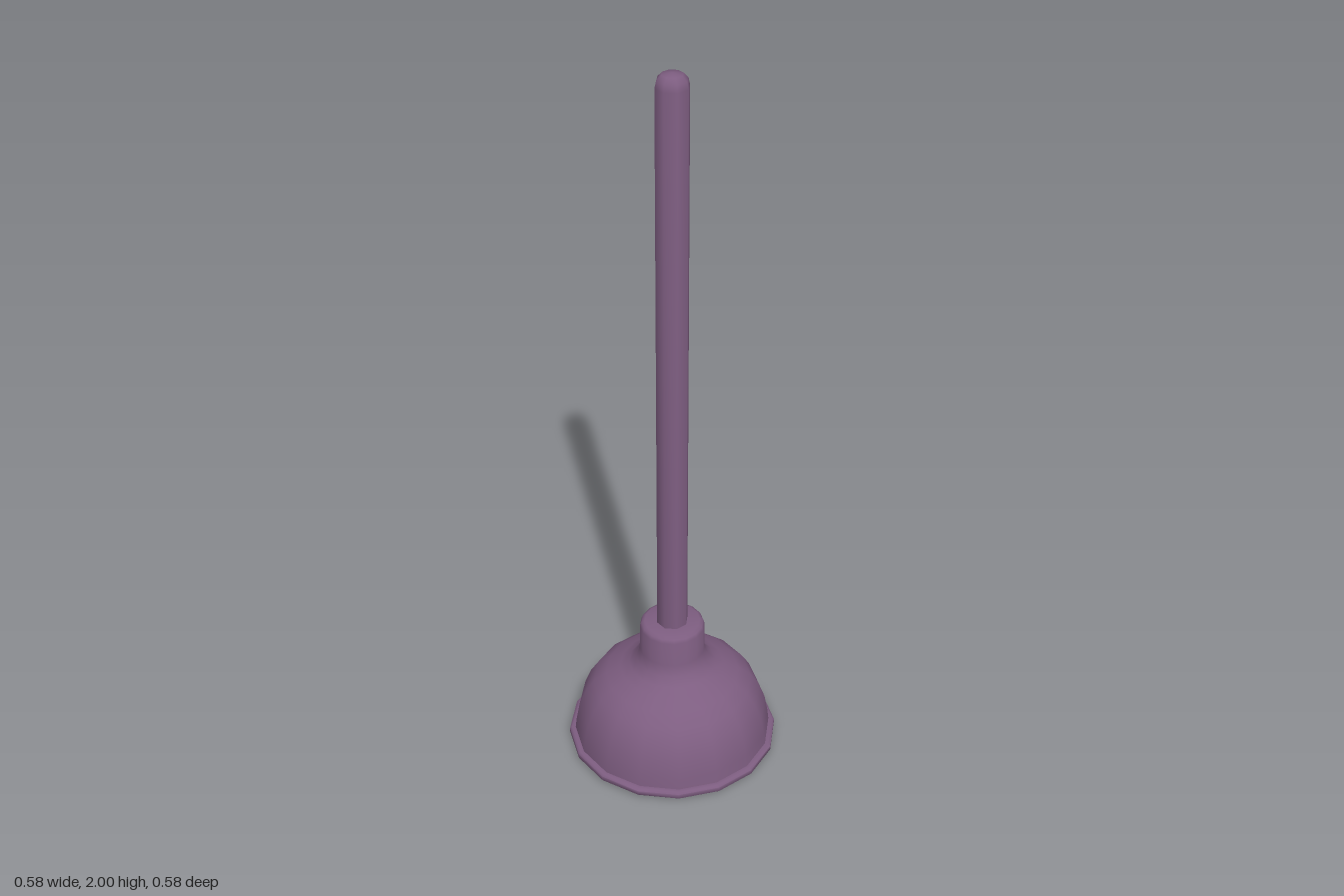
import * as THREE from 'three';
import { toCreasedNormals } from 'three/addons/utils/BufferGeometryUtils.js';

const material = new THREE.MeshStandardMaterial({ color: 0x7d5d80 });

// Turned part from [radius, height] pairs; only sharp corners keep an edge.
function turned(name, profile, sides, startAngle = 0) {
  const points = profile.map(([r, y]) => new THREE.Vector2(r, y));
  const lathe = new THREE.LatheGeometry(points, sides, startAngle);
  const mesh = new THREE.Mesh(toCreasedNormals(lathe, THREE.MathUtils.degToRad(50)), material);
  mesh.name = name;
  return mesh;
}

export function createModel() {
  const group = new THREE.Group();
  group.name = 'plunger';

  // Hollow rubber cup: inner dome down to the rim, then outside up to the collar
  group.add(turned('cup', [
    [0, 0.235], [0.12, 0.225], [0.18, 0.198], [0.222, 0.155], [0.248, 0.09], [0.26, 0.025], [0.268, 0.003],
    [0.284, 0.003], [0.291, 0.01], [0.291, 0.023], [0.285, 0.028], [0.275, 0.028],
    [0.271, 0.06], [0.262, 0.11], [0.244, 0.155], [0.22, 0.193], [0.185, 0.222], [0.145, 0.242],
    [0.12, 0.257], [0.1, 0.279], [0.09, 0.31],
    [0.089, 0.385], [0.085, 0.395], [0.076, 0.4], [0.03, 0.4],
  ], 16));

  // Eight-sided stick with a rounded tip
  group.add(turned('handle', [
    [0, 0.24], [0.043, 0.24], [0.043, 1.965], [0.039, 1.983], [0.027, 1.996], [0, 2],
  ], 8, THREE.MathUtils.degToRad(35)));

  return group;
}
